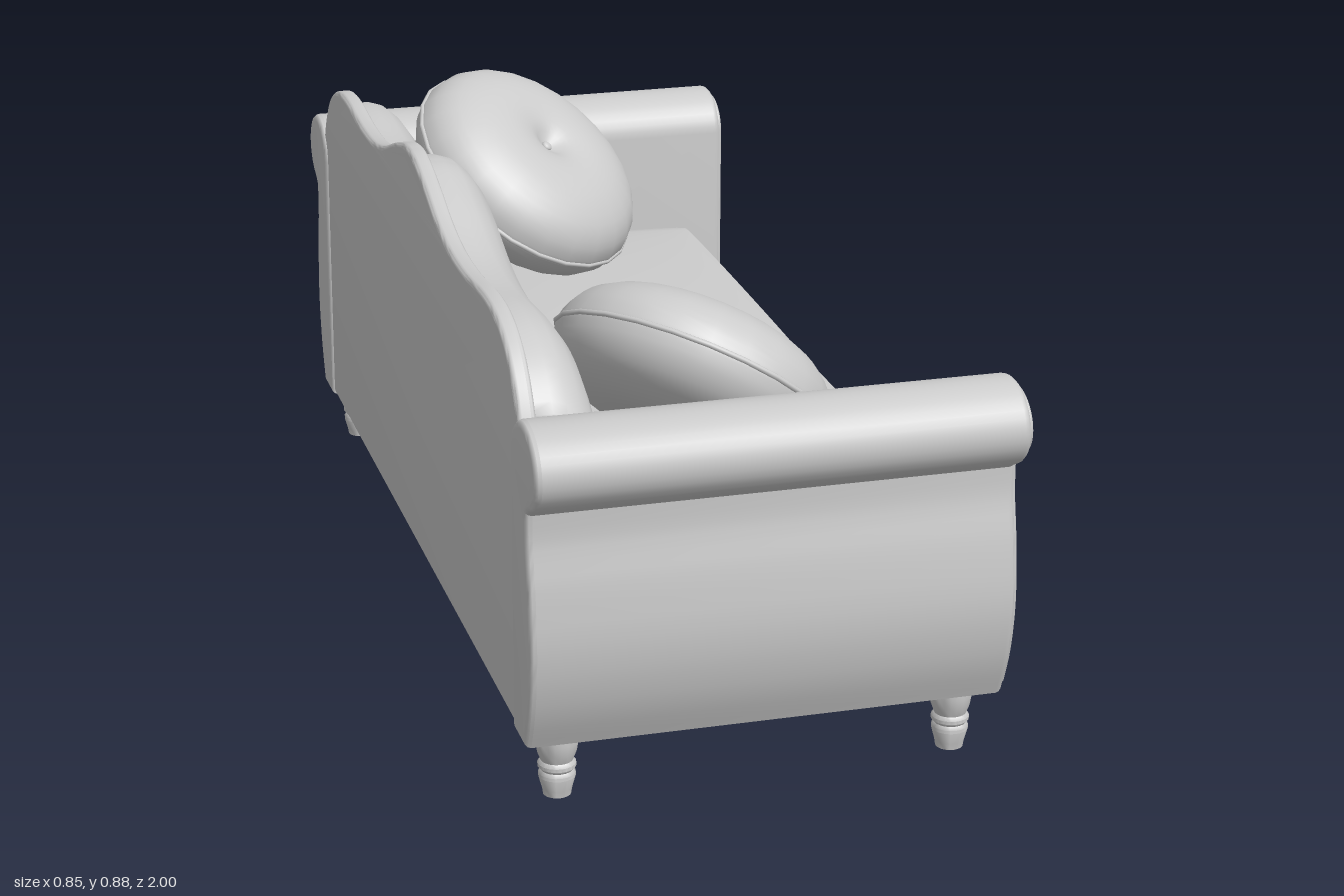
import * as THREE from 'three';
import { toCreasedNormals, mergeVertices } from 'three/addons/utils/BufferGeometryUtils.js';

const material = new THREE.MeshStandardMaterial({ color: 0xcccccc });
const V2 = (x, y) => new THREE.Vector2(x, y);

function add(parent, name, geometry, x = 0, y = 0, z = 0) {
  const mesh = new THREE.Mesh(geometry, material);
  mesh.name = name;
  mesh.position.set(x, y, z);
  parent.add(mesh);
  return mesh;
}

// Side outline extruded along x from x0 to x1, with rounded rims; inset shrinks the outline
function slab(points, x0, x1, bevel, inset = 0) {
  const geometry = new THREE.ExtrudeGeometry(new THREE.Shape(points), {
    depth: x1 - x0 - 2 * bevel, bevelThickness: bevel, bevelSize: bevel,
    bevelOffset: -bevel - inset, bevelSegments: 3, steps: 1,
  });
  geometry.rotateY(Math.PI / 2).translate(x0 + bevel, 0, 0);
  return toCreasedNormals(geometry, 0.6);
}

// Box with rounded edges and a gently crowned top
function softBox(w, h, d, r, crown) {
  let geometry = new THREE.BoxGeometry(w, h, d, 20, 12, 20);
  geometry.deleteAttribute('normal');
  geometry.deleteAttribute('uv');
  geometry = mergeVertices(geometry);
  const pos = geometry.attributes.position;
  const half = new THREE.Vector3(w, h, d).multiplyScalar(0.5);
  const core = half.clone().subScalar(r);
  const p = new THREE.Vector3();
  for (let i = 0; i < pos.count; i++) {
    p.fromBufferAttribute(pos, i).divide(half);
    const t = p.clone();
    for (const a of ['x', 'y', 'z']) p[a] = Math.sin(p[a] * Math.PI / 2) * half[a];
    const c = p.clone().clamp(core.clone().negate(), core);
    p.sub(c).setLength(r).add(c);
    if (t.y > 0) p.y += crown * t.y * Math.cos(t.x * Math.PI / 2) * Math.cos(t.z * Math.PI / 2);
    pos.setXYZ(i, p.x, p.y, p.z);
  }
  geometry.computeVertexNormals();
  return geometry;
}

// Rolled arm outline, side = 1 or -1
function armOutline(side) {
  const outer = new THREE.SplineCurve([
    V2(0.905, 0.108), V2(0.937, 0.19), V2(0.953, 0.29), V2(0.945, 0.4), V2(0.93, 0.48), V2(0.928, 0.535),
  ]).getPoints(18);
  const roll = [];
  for (let i = 0; i <= 24; i++) {
    const a = THREE.MathUtils.degToRad(-70 + 250 * i / 24);
    roll.push(V2(0.91 + 0.09 * Math.cos(a), 0.615 + 0.075 * Math.sin(a)));
  }
  const all = [V2(0.82, 0.108), ...outer, ...roll].map((p) => V2(p.x * side, p.y));
  return side > 0 ? all : all.reverse();
}

// Camel-back top line from the middle to one end
const crest = new THREE.SplineCurve([
  V2(0, 0.885), V2(0.05, 0.88), V2(0.14, 0.855), V2(0.24, 0.82), V2(0.34, 0.8), V2(0.46, 0.797),
  V2(0.6, 0.808), V2(0.7, 0.8), V2(0.78, 0.765), V2(0.84, 0.7), V2(0.875, 0.62),
]).getPoints(40);

// Padded inside back: one section swept along the crest
function backPadding() {
  const section = [[-0.4, 0], [-0.355, 0], [-0.33, 0.008], [-0.305, 0.03], [-0.285, 0.06], [-0.272, 0.1], [-0.267, 0.14]];
  const rim = crest.filter((p) => p.x <= 0.85);
  const line = [...rim.slice(1).reverse().map((p) => V2(-p.x, p.y)), ...rim];
  const n = section.length + 1;
  const verts = [];
  const index = [];
  line.forEach((p, j) => {
    section.forEach(([x, drop]) => verts.push(x, p.y - 0.027 - drop, p.x));
    verts.push(-0.267, 0.2, p.x);
    if (j === 0) return;
    for (let i = 0; i < n - 1; i++) {
      const a = (j - 1) * n + i;
      const b = j * n + i;
      index.push(a, b, a + 1, a + 1, b, b + 1);
    }
  });
  // End caps
  const last = (line.length - 1) * n;
  for (let i = 1; i < n - 1; i++) index.push(0, i, i + 1, last, last + i + 1, last + i);
  const geometry = new THREE.BufferGeometry();
  geometry.setAttribute('position', new THREE.Float32BufferAttribute(verts, 3));
  geometry.setIndex(index);
  return toCreasedNormals(geometry, 0.7);
}

export function createModel() {
  const sofa = new THREE.Group();
  sofa.name = 'sofa';

  // Seat base
  add(sofa, 'seatBase', new THREE.BoxGeometry(0.74, 0.155, 1.66), -0.025, 0.188, 0);

  // Back panel with its shaped crest, and the padding in front of it
  const panel = [V2(-0.875, 0.11), V2(0.875, 0.11),
    ...crest.slice().reverse(), ...crest.slice(1).map((p) => V2(-p.x, p.y))];
  add(sofa, 'backPanel', slab(panel, -0.419, -0.386, 0.009));
  add(sofa, 'backPadding', backPadding());

  // Turned leg profile
  const legProfile = [[0, 0], [0.024, 0], [0.026, 0.012], [0.032, 0.034], [0.032, 0.04], [0.028, 0.046],
    [0.033, 0.052], [0.033, 0.058], [0.028, 0.064], [0.034, 0.08], [0.037, 0.098], [0.037, 0.112]]
    .map(([r, y]) => V2(r, y));
  const leg = toCreasedNormals(new THREE.LatheGeometry(legProfile, 20), 0.7);

  // Round pillow profile with a dimple for the button
  const half = new THREE.SplineCurve([V2(0.25, 0), V2(0.241, 0.035), V2(0.212, 0.071), V2(0.16, 0.098),
    V2(0.1, 0.108), V2(0.05, 0.1), V2(0.02, 0.083), V2(0, 0.072)]).getPoints(20);
  const pillowProfile = [...half.slice(1).reverse().map((p) => V2(p.x, -p.y)), ...half]
    .map((p) => V2(Math.max(p.x, 0), p.y));
  const pillowBody = new THREE.LatheGeometry(pillowProfile, 24);
  const piping = new THREE.TorusGeometry(0.249, 0.005, 8, 24).rotateX(Math.PI / 2);
  const button = new THREE.SphereGeometry(0.011, 12, 8).scale(1, 0.6, 1);

  for (const side of [1, -1]) {
    const word = side > 0 ? 'left' : 'right';

    // Rolled arm with a raised facing on the front
    const outline = armOutline(-side);
    add(sofa, word + 'Arm', slab(outline, -0.425, 0.419, 0.012));
    add(sofa, word + 'ArmFacing', slab(outline, 0.405, 0.426, 0.006, 0.014));

    // Seat cushion
    add(sofa, word + 'SeatCushion', softBox(0.625, 0.155, 0.804, 0.022, 0.03), 0.037, 0.341, side * 0.407);

    // Legs
    for (const x of [-0.36, 0.34]) add(sofa, word + (x > 0 ? 'FrontLeg' : 'BackLeg'), leg, x, 0, side * 0.865);

    // Pillow leaning into the corner
    const pillow = new THREE.Group();
    pillow.name = word + 'Pillow';
    add(pillow, 'pillowBody', pillowBody);
    add(pillow, 'pillowPiping', piping);
    for (const y of [0.078, -0.078]) add(pillow, 'pillowButton', button, 0, y, 0);
    pillow.position.set(-0.055, 0.63, side * 0.608);
    pillow.quaternion.setFromUnitVectors(new THREE.Vector3(0, 1, 0),
      new THREE.Vector3(0.486, 0.775, -0.41 * side).normalize());
    sofa.add(pillow);
  }
  return sofa;
}
